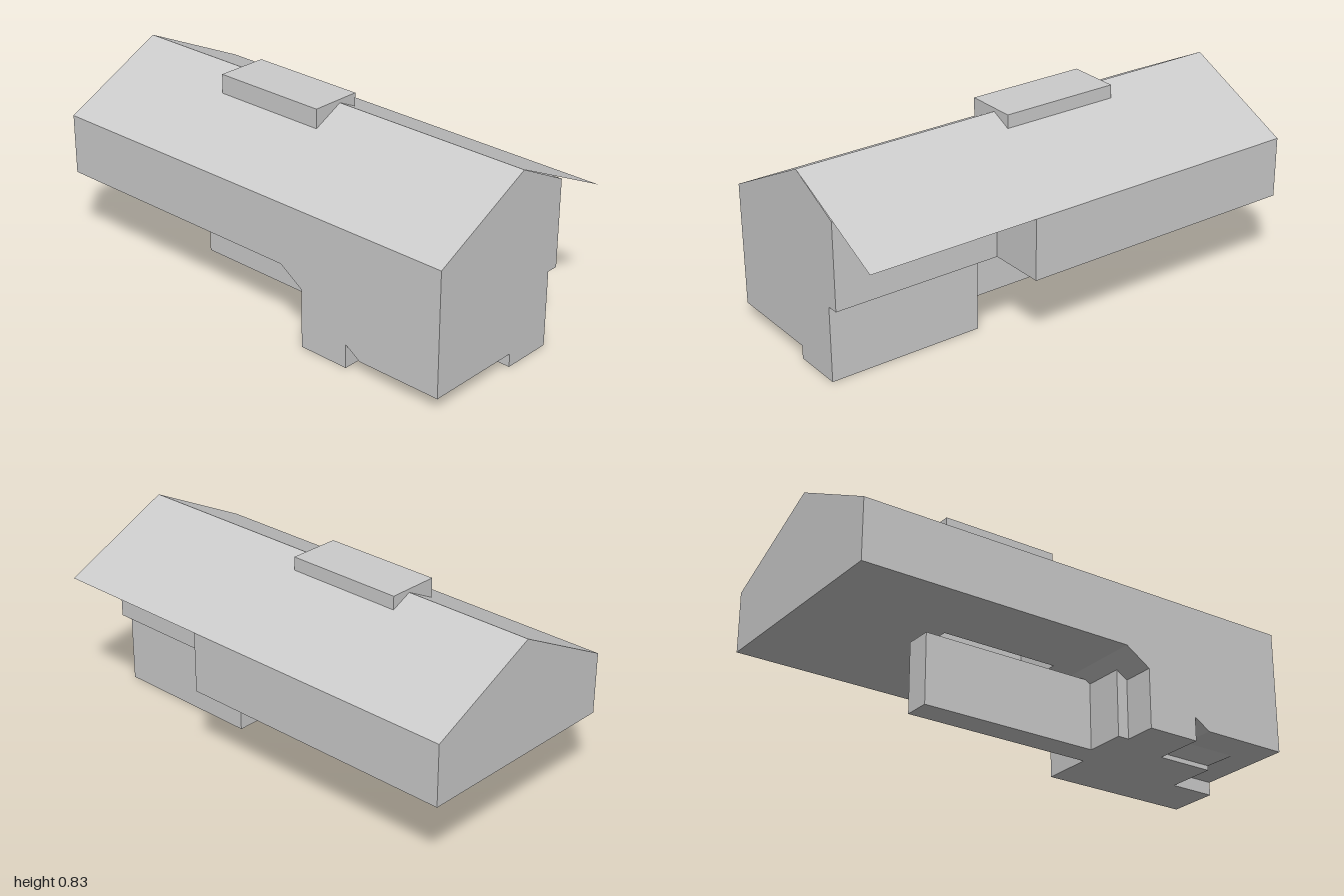
import * as THREE from 'three';

const material = new THREE.MeshStandardMaterial({ color: 0xcccccc, flatShading: true, side: THREE.DoubleSide });

// Key heights and positions
const EAVE = 0.587, RIDGE = 0.82, RIDGE_X = -0.015, FLOOR = 0.325, SOFFIT = 0.057;
const HALF = 0.475, WING_X = 0.225, RECESS_Z = 0.26, ROOF_AT_WING = 0.7;

const toVectors = (points) => points.map(([a, b]) => new THREE.Vector2(a, b));

// Each facing maps flat outline coordinates onto a wall or floor plane
const facings = {
  front: { map: (x, y) => [x, y], turn: (g) => g },
  back: { map: (x, y) => [-x, y], turn: (g) => g.rotateY(Math.PI) },
  right: { map: (z, y) => [-z, y], turn: (g) => g.rotateY(Math.PI / 2) },
  left: { map: (z, y) => [z, y], turn: (g) => g.rotateY(-Math.PI / 2) },
  down: { map: (x, z) => [x, z], turn: (g) => g.rotateX(Math.PI / 2) },
  up: { map: (x, z) => [x, -z], turn: (g) => g.rotateX(-Math.PI / 2) },
};

export function createModel() {
  const model = new THREE.Group();
  model.name = 'house';

  const add = (name, geometry) => {
    const mesh = new THREE.Mesh(geometry, material);
    mesh.name = name;
    model.add(mesh);
    return mesh;
  };

  // Flat outline on an axis-aligned plane, with an optional opening
  const panel = (name, facing, offset, points, hole) => {
    const { map, turn } = facings[facing];
    const place = (list) => toVectors(list.map(([a, b]) => map(a, b)));
    const shape = new THREE.Shape(place(points));
    if (hole) shape.holes.push(new THREE.Path(place(hole)));
    const mesh = add(name, turn(new THREE.ShapeGeometry(shape)));
    const axis = { front: 'z', back: 'z', right: 'x', left: 'x', down: 'y', up: 'y' }[facing];
    mesh.position[axis] = offset;
  };

  // Four-cornered sloping surface, corners counter-clockwise from outside
  const quad = (name, a, b, c, d) => {
    const geometry = new THREE.BufferGeometry();
    geometry.setAttribute('position', new THREE.Float32BufferAttribute([a, b, c, a, c, d].flat(), 3));
    geometry.computeVertexNormals();
    add(name, geometry);
  };

  const rect = (a0, a1, b0, b1) => [[a0, b0], [a1, b0], [a1, b1], [a0, b1]];

  // Roof slopes
  quad('leftRoofSlope', [RIDGE_X, RIDGE, 1], [HALF, EAVE, 1], [HALF, EAVE, -1], [RIDGE_X, RIDGE, -1]);
  quad('rightRoofSlope', [-HALF, EAVE, 1], [RIDGE_X, RIDGE, 1], [RIDGE_X, RIDGE, -1], [-HALF, EAVE, -1]);

  // Gable walls
  panel('frontGable', 'front', 1, [
    [-HALF, SOFFIT], [-0.045, SOFFIT], [-0.045, FLOOR], [WING_X, FLOOR],
    [WING_X, ROOF_AT_WING], [RIDGE_X, RIDGE], [-HALF, EAVE],
  ]);
  panel('backGable', 'back', -1, [
    [-HALF, FLOOR], [HALF, FLOOR], [HALF, EAVE], [RIDGE_X, RIDGE], [-HALF, EAVE],
  ]);

  // Side walls, with a recess under the roof at the front corner
  panel('leftWall', 'right', HALF, rect(-1, RECESS_Z, FLOOR, EAVE));
  panel('recessSideWall', 'right', WING_X, rect(RECESS_Z, 1, FLOOR, ROOF_AT_WING));
  panel('recessEndWall', 'front', RECESS_Z, [
    [WING_X, FLOOR], [HALF, FLOOR], [HALF, EAVE], [WING_X, ROOF_AT_WING],
  ]);
  panel('rightWall', 'left', -HALF, [
    [-1, FLOOR], [0.21, FLOOR], [0.62, SOFFIT], [1, SOFFIT], [1, EAVE], [-1, EAVE],
  ]);

  // Upper floor underside with the shaft opening
  const shaft = { x0: -0.15, x1: 0.075, z0: -0.43, z1: 0.095, top: 0.835 };
  panel('upperFloor', 'down', FLOOR, [
    [-HALF, -1], [HALF, -1], [HALF, RECESS_Z], [WING_X, RECESS_Z], [WING_X, 1],
    [0.17, 1], [0.17, RECESS_Z], [-0.1, RECESS_Z], [-0.1, 0.21], [-HALF, 0.21],
  ], rect(shaft.x0, shaft.x1, shaft.z0, shaft.z1));

  // Shaft rising from the floor opening through the ridge
  panel('shaftFront', 'front', shaft.z1, rect(shaft.x0, shaft.x1, FLOOR, shaft.top));
  panel('shaftBack', 'back', shaft.z0, rect(shaft.x0, shaft.x1, FLOOR, shaft.top));
  panel('shaftLeft', 'right', shaft.x1, rect(shaft.z0, shaft.z1, FLOOR, shaft.top));
  panel('shaftRight', 'left', shaft.x0, rect(shaft.z0, shaft.z1, FLOOR, shaft.top));
  panel('shaftCap', 'up', shaft.top, rect(shaft.x0, shaft.x1, shaft.z0, shaft.z1));

  // Overhang undersides
  panel('frontSoffit', 'down', SOFFIT, [
    [-HALF, 0.62], [-0.33, 0.62], [-0.33, 0.87], [-0.045, 0.87], [-0.045, 1], [-HALF, 1],
  ]);
  quad('slopingSoffit', [-HALF, FLOOR, 0.21], [-0.1, FLOOR, 0.21], [-0.1, SOFFIT, 0.62], [-HALF, SOFFIT, 0.62]);

  // Flared corbels between the stepped base and the overhang
  const inner = [[-0.045, 0.02, 0.8], [-0.26, 0.02, 0.8], [-0.26, 0.02, 0.55], [-0.355, 0.02, 0.55]];
  const outer = [[-0.045, SOFFIT, 0.87], [-0.33, SOFFIT, 0.87], [-0.33, SOFFIT, 0.62], [-0.36, SOFFIT, 0.62]];
  for (let i = 0; i < 3; i++) {
    quad('corbel', inner[i], outer[i], outer[i + 1], inner[i + 1]);
  }

  // Stepped lower storey
  const footprint = [
    [0.175, 1], [0.175, 0.32], [-0.1, 0.32], [-0.1, 0.27], [-0.335, 0.27], [-0.335, 0.32],
    [-HALF, 0.32], [-HALF, 0.55], [-0.26, 0.55], [-0.26, 0.8], [-0.045, 0.8], [-0.045, 1],
  ];
  const baseShape = new THREE.Shape(toVectors(footprint.map(([x, z]) => [x, -z])));
  add('lowerStorey', new THREE.ExtrudeGeometry(baseShape, { depth: FLOOR, bevelEnabled: false }).rotateX(-Math.PI / 2));

  // Long low block under the rear of the house
  add('rearBlock', new THREE.BoxGeometry(0.115, 0.3, 0.84)).position.set(-0.103, 0.15, -0.1);

  return model;
}
